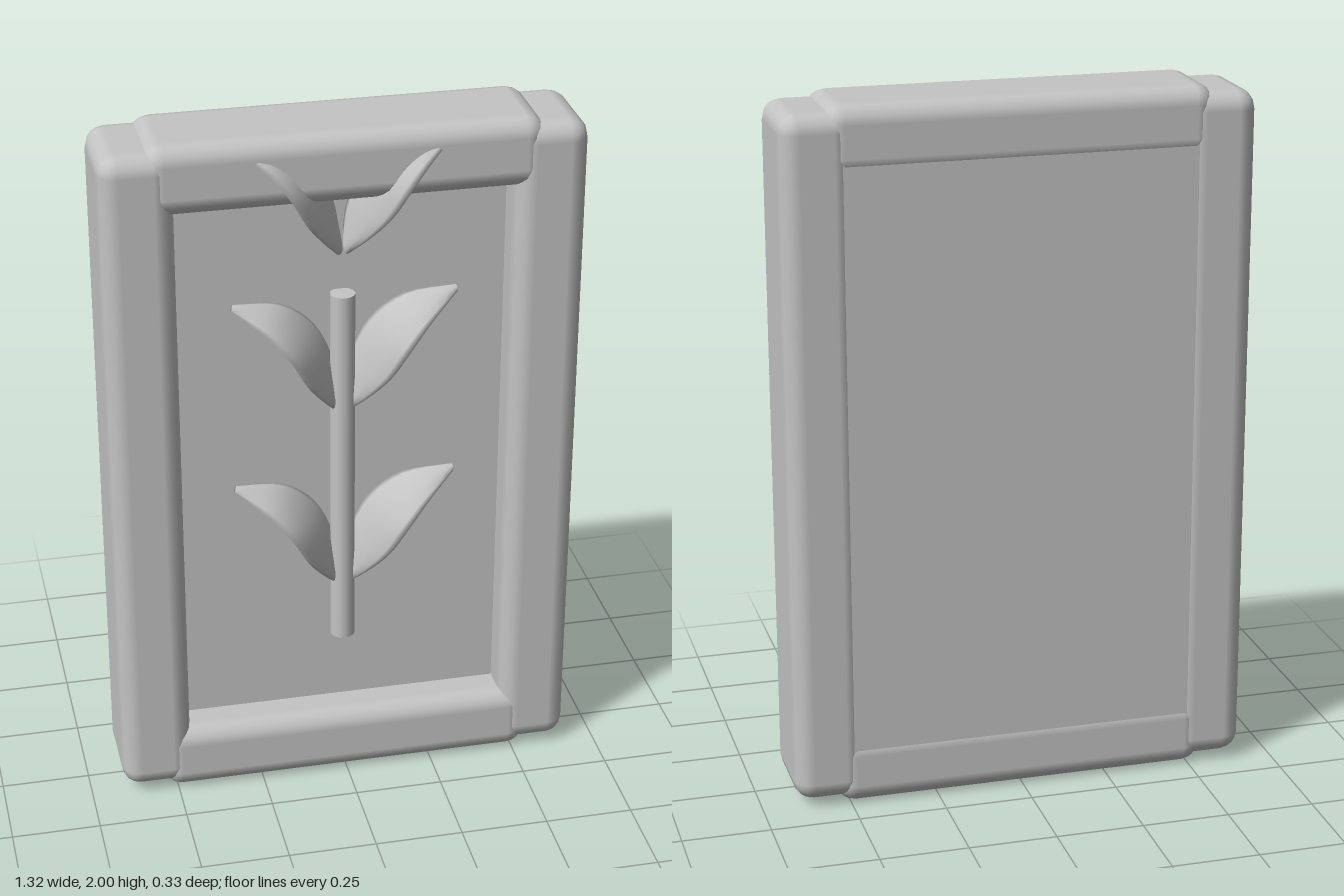
import * as THREE from 'three';
import { RoundedBoxGeometry } from 'three/addons/geometries/RoundedBoxGeometry.js';

const stone = new THREE.MeshStandardMaterial({ color: 0xc4c4c4 });
stone.name = 'grey stone';

function add(parent, name, geometry, x, y, z) {
  const mesh = new THREE.Mesh(geometry, stone);
  mesh.name = name;
  mesh.position.set(x, y, z);
  parent.add(mesh);
  return mesh;
}

// Leaf edges running from base to tip: the outer edge bulges forward
const OUTER = [[0.015, 0, 0.05], [0.06, 0.055, 0.095], [0.115, 0.13, 0.14],
  [0.165, 0.22, 0.165], [0.225, 0.29, 0.145], [0.312, 0.352, 0.085]];
const INNER = [[0.003, 0.02, 0.045], [0.005, 0.06, 0.03], [0.02, 0.15, 0.02],
  [0.075, 0.265, 0.025], [0.17, 0.345, 0.05], [0.307, 0.368, 0.075]];

// Thin lens-shaped cross-sections swept between the two edges
function leafGeometry(side) {
  const curve = (pts) => new THREE.CatmullRomCurve3(
    pts.map(([x, y, z]) => new THREE.Vector3(side * x, y, z)));
  const outer = curve(OUTER), inner = curve(INNER);
  const steps = 20, sides = 10;
  const mid = (u) => outer.getPoint(u).add(inner.getPoint(u)).multiplyScalar(0.5);
  const positions = [], index = [];
  for (let i = -1; i <= steps + 1; i++) {
    const u = THREE.MathUtils.clamp(i / steps, 0, 1);
    const size = i < 0 || i > steps ? 0 : 1; // closes the ends
    const center = mid(u);
    const half = outer.getPoint(u).sub(inner.getPoint(u)).multiplyScalar(0.5);
    const tangent = mid(Math.min(u + 0.02, 1)).sub(mid(Math.max(u - 0.02, 0)));
    const normal = tangent.cross(half).normalize().multiplyScalar(0.012);
    for (let j = 0; j < sides; j++) {
      const a = (j / sides) * Math.PI * 2;
      const p = center.clone()
        .addScaledVector(half, size * Math.cos(a))
        .addScaledVector(normal, size * Math.sin(a));
      positions.push(p.x, p.y, p.z);
    }
  }
  for (let i = 0; i < steps + 2; i++) {
    for (let j = 0; j < sides; j++) {
      const a = i * sides + j, b = i * sides + (j + 1) % sides;
      index.push(a, b, a + sides, b, b + sides, a + sides);
    }
  }
  const geometry = new THREE.BufferGeometry();
  geometry.setAttribute('position', new THREE.Float32BufferAttribute(positions, 3));
  geometry.setIndex(index);
  geometry.computeVertexNormals();
  return geometry;
}

export function createModel() {
  const model = new THREE.Group();
  model.name = 'carvedPanel';

  // Rounded frame
  const frame = new THREE.Group();
  frame.name = 'frame';
  model.add(frame);
  for (const [side, label] of [[1, 'left'], [-1, 'right']]) {
    add(frame, label + 'Post', new RoundedBoxGeometry(0.202, 1.96, 0.295, 2, 0.055), side * 0.559, 1, -0.0175);
  }
  for (const [y, label] of [[1.9, 'top'], [0.1, 'bottom']]) {
    add(frame, label + 'Rail', new RoundedBoxGeometry(1.08, 0.2, 0.294, 2, 0.055), 0, y, -0.0175);
  }

  // Recessed front, nearly flush back
  add(model, 'backPanel', new THREE.BoxGeometry(1.0, 1.7, 0.18), 0, 1, -0.07);

  // Plant relief
  const plant = new THREE.Group();
  plant.name = 'plant';
  model.add(plant);
  add(plant, 'stem', new THREE.CylinderGeometry(0.035, 0.035, 1.08, 16), 0, 0.97, 0.05);
  for (const [side, label] of [[1, 'left'], [-1, 'right']]) {
    const geometry = leafGeometry(side);
    [0.595, 1.15, 1.625].forEach((y, i) => add(plant, label + 'Leaf' + (i + 1), geometry, 0, y, 0));
  }
  return model;
}
